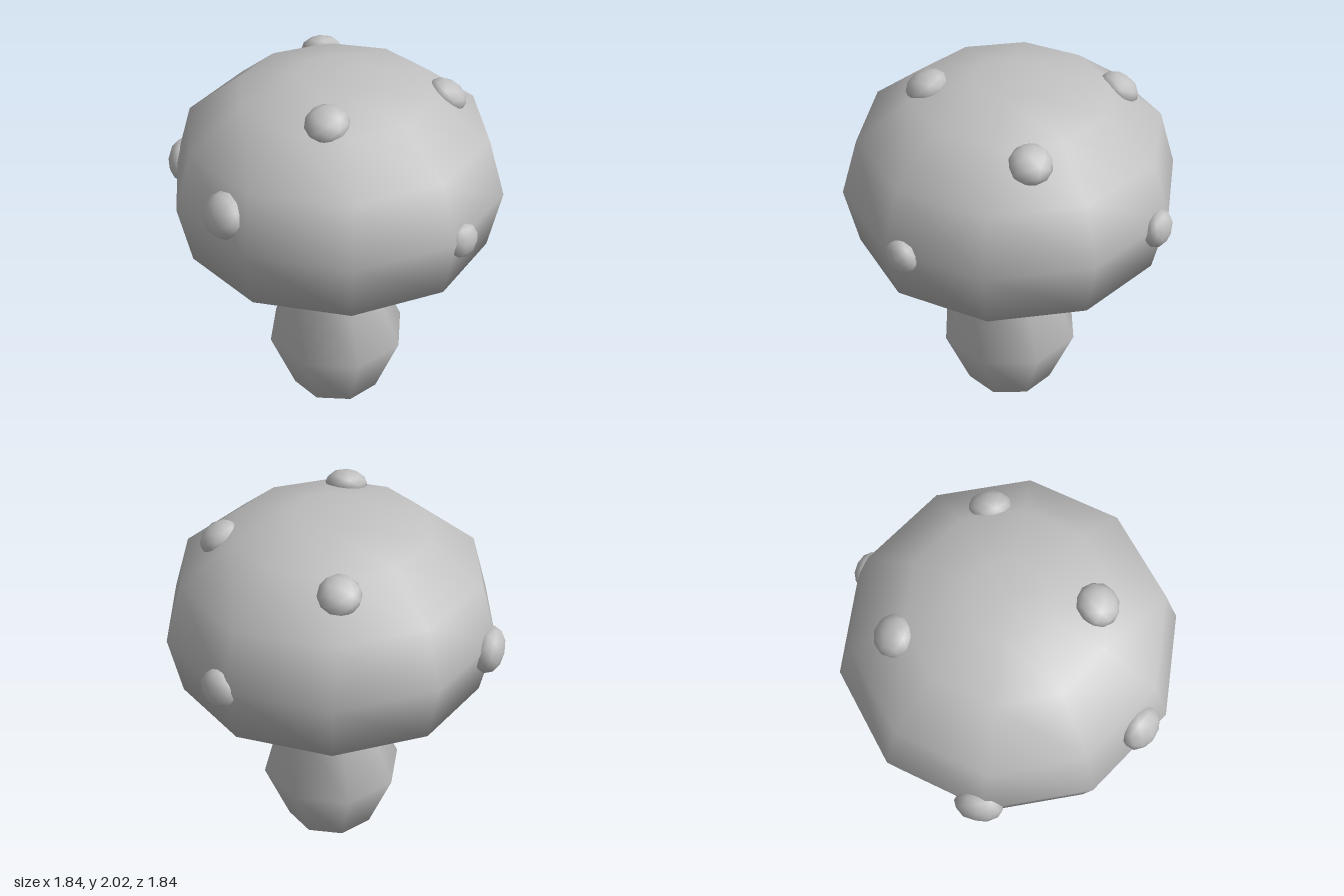
import * as THREE from 'three';

const grey = new THREE.MeshStandardMaterial({ color: 0xc0c0c0 });
grey.name = 'plain grey';

// Turned part from [radius, height] pairs, listed from the bottom up
function turned(name, profile, sides) {
  const points = profile.map(([r, y]) => new THREE.Vector2(r, y));
  const mesh = new THREE.Mesh(new THREE.LatheGeometry(points, sides), grey);
  mesh.name = name;
  return mesh;
}

export function createModel() {
  const model = new THREE.Group();
  model.name = 'mushroom';

  // Eight-sided stem with a bulging foot and a closed base
  const stem = turned('stem', [[0, 0], [0.257, 0], [0.398, 0.35], [0.254, 0.67], [0.233, 1.06]], 8);
  stem.rotation.y = Math.PI / 8;
  stem.position.set(-0.012, 0, -0.012);
  model.add(stem);

  // Ten-sided cap with a flat underside and a flat crown
  const cap = turned('cap', [
    [0, 1.055], [0.833, 1.055], [0.904, 1.38], [0.813, 1.69],
    [0.525, 1.91], [0.22, 1.99], [0, 1.99],
  ], 10);
  cap.position.set(-0.005, 0, -0.015);
  model.add(cap);

  // Flattened bumps lying on the cap: x, y, z, radius
  const bumps = [
    [0.08, 1.36, 0.855, 0.094],
    [0.845, 1.36, -0.225, 0.105],
    [-0.835, 1.52, 0.08, 0.123],
    [-0.325, 1.935, 0.28, 0.115],
    [0.465, 1.842, 0.33, 0.112],
    [0.31, 1.85, -0.51, 0.112],
    [-0.49, 1.34, -0.745, 0.128],
  ];
  const bumpGeometry = new THREE.IcosahedronGeometry(1, 1);
  const up = new THREE.Vector3(0, 1, 0);
  for (const [x, y, z, r] of bumps) {
    const bump = new THREE.Mesh(bumpGeometry, grey);
    bump.name = 'capBump';
    bump.position.set(x, y, z);
    bump.scale.set(r, r * 0.66, r);
    // Face outward along the cap's rounded surface
    const outward = new THREE.Vector3(x / 0.81, (y - 1.35) / 0.45, z / 0.81).normalize();
    bump.quaternion.setFromUnitVectors(up, outward);
    model.add(bump);
  }

  return model;
}
